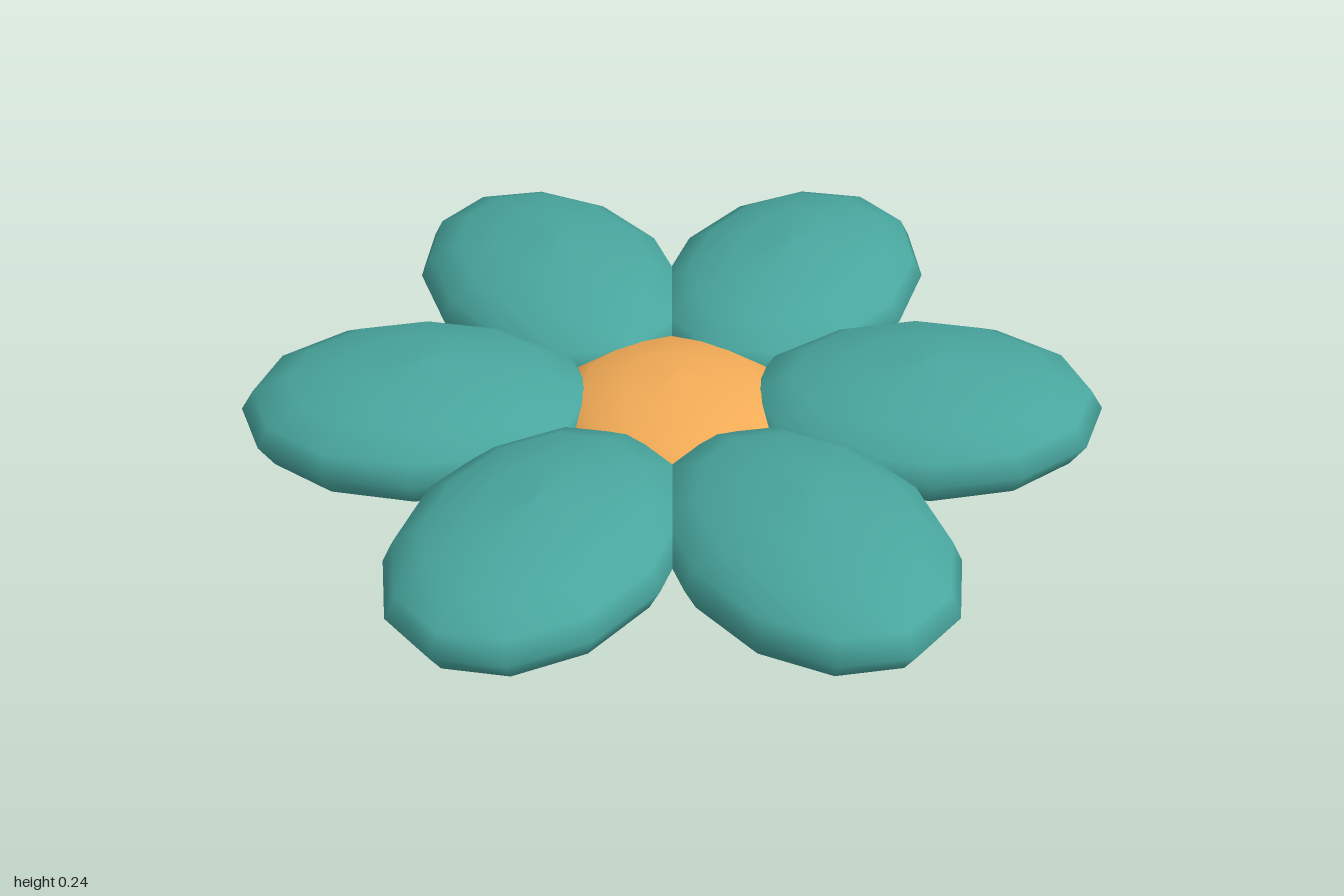
import * as THREE from 'three';

// Squashed low-poly dome with smooth normals, cut open where it meets the ground.
function openEllipsoid(rx, ry, rz, centerY, segments) {
  const cut = Math.acos(-centerY / ry);
  const mid = Math.PI / 2;
  const angles = [cut, (cut + mid) / 2, mid, mid * 0.76, mid * 0.52, mid * 0.26, 0];
  const profile = angles.map((a) => new THREE.Vector2(Math.sin(a), Math.cos(a)));
  profile[profile.length - 1].x = 0;
  const geometry = new THREE.LatheGeometry(profile, segments, Math.PI / 2);
  geometry.scale(rx, ry, rz);
  geometry.translate(0, centerY, 0);
  return geometry;
}

export function createModel() {
  const flower = new THREE.Group();
  flower.name = 'flower';

  const petalMaterial = new THREE.MeshStandardMaterial({ color: 0x48a69e, side: THREE.DoubleSide });
  const centerMaterial = new THREE.MeshStandardMaterial({ color: 0xf2ab56, side: THREE.DoubleSide });

  // Six overlapping petals around the middle; the back pair is slightly fuller
  for (let i = 0; i < 6; i++) {
    const isBack = i === 1 || i === 2;
    const geometry = openEllipsoid(0.42, isBack ? 0.138 : 0.135, 0.305, isBack ? 0.107 : 0.102, 12);
    geometry.translate(0.58, 0, 0);
    const petal = new THREE.Mesh(geometry, petalMaterial);
    petal.name = `petal${i + 1}`;
    petal.rotation.y = (i * Math.PI) / 3 - 0.012;
    flower.add(petal);
  }

  // Flattened round middle
  const center = new THREE.Mesh(openEllipsoid(0.29, 0.115, 0.29, 0.078, 12), centerMaterial);
  center.name = 'flowerCenter';
  flower.add(center);

  return flower;
}
